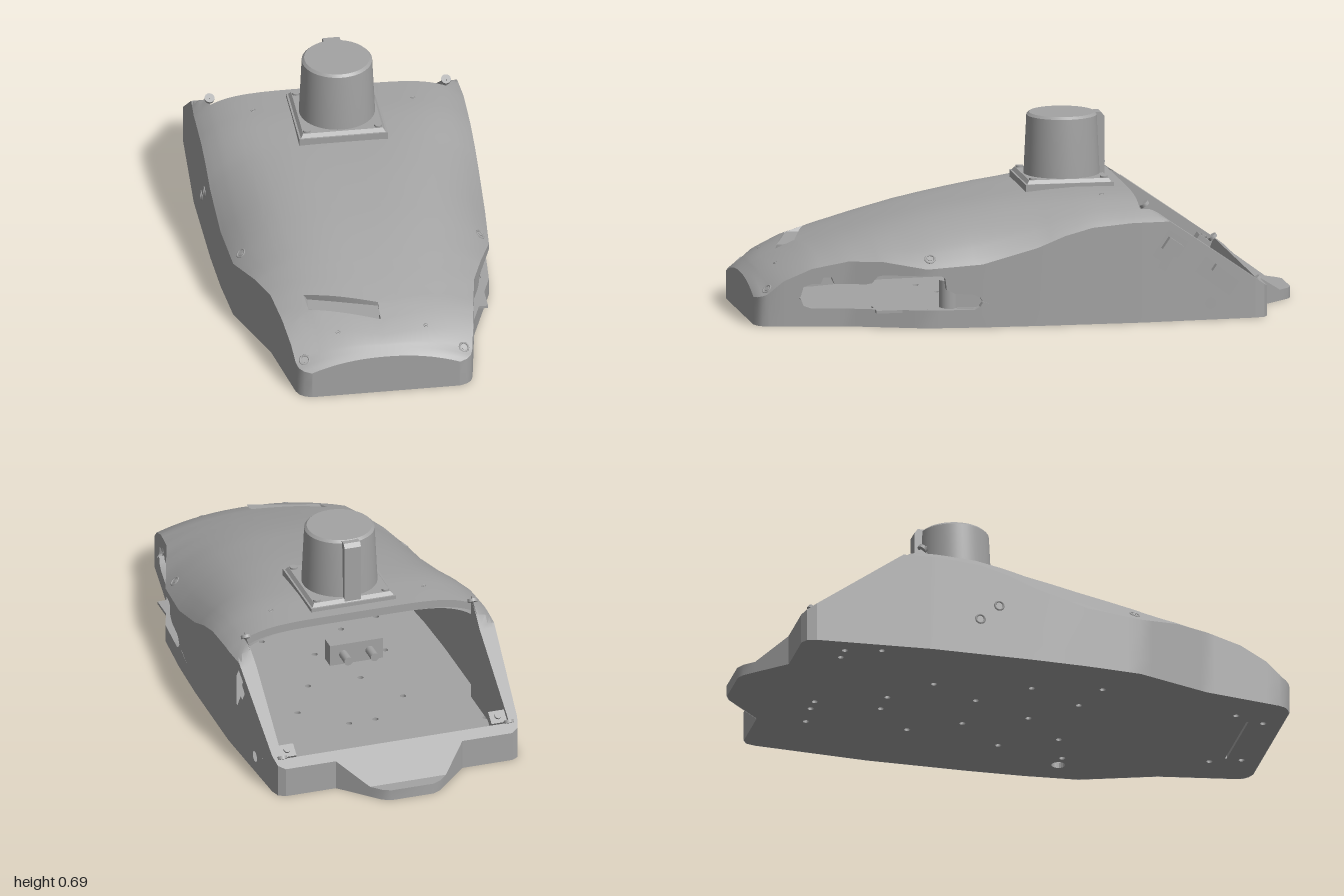
import * as THREE from 'three';
import { mergeGeometries, toCreasedNormals } from 'three/addons/utils/BufferGeometryUtils.js';

const grey = new THREE.MeshStandardMaterial({ color: 0xa3a3a3, side: THREE.DoubleSide });
grey.name = 'grey plastic';

// piecewise interpolation in a table of [key, value], keys descending
function at(table, k) {
  if (k >= table[0][0]) return table[0][1];
  for (let i = 1; i < table.length; i++) {
    const [a, va] = table[i - 1], [b, vb] = table[i];
    if (k >= b) return va + (vb - va) * (a - k) / (a - b);
  }
  return table[table.length - 1][1];
}

// body laws along z: half width, shoulder height, crown height, section roundness
const WIDTH = [[1, .27], [.99, .295], [.975, .312], [.95, .322], [.67, .37], [.4, .465], [.2, .481], [0, .488], [-.38, .49], [-.8, .465]];
const EDGE = [[1, .1], [.96, .115], [.9, .165], [.8, .21], [.67, .237], [.55, .238], [.4, .215], [.2, .23], [0, .285], [-.1, .325], [-.2, .352], [-.35, .365], [-.5, .365]];
const CROWN = [[1, .147], [.95, .185], [.9, .212], [.8, .255], [.7, .288], [.6, .318], [.5, .346], [.4, .37], [.3, .389], [.2, .406], [.1, .42], [0, .431], [-.1, .439], [-.2, .445], [-.5, .441]];
const ROUND = [[1, 2.2], [.5, 3], [0, 4], [-.3, 5.4]];
const SLOT_U = [[1, 0], [.35, .02], [0, .04], [-.714, -.04], [-1, 0]];
const SLOT_Z = [[.97, 0], [.88, 1], [.7, 1], [.5, 0]];
const slope = z => Math.max(.04, .41 + .698 * (z + .42));
const domeY = (u, z) => {
  const e = at(EDGE, z), y = e + (at(CROWN, z) - e) * (1 - Math.abs(u) ** at(ROUND, z));
  return z < -.385 ? Math.min(y, slope(z)) : y;
};

// openings in the side walls: [z, bottom, top]
const HANDLE = [[.84, .1, .11], [.83, .075, .145], [.8, .065, .155], [.77, .065, .155], [.76, .065, .178], [.73, .065, .178], [.72, .065, .155],
  [.61, .065, .155], [.59, .065, .16], [.57, .065, .185], [.55, .065, .19], [.35, .065, .19], [.335, .065, .18], [.33, .065, .14], [.3, .065, .125], [.23, .065, .12], [.21, .075, .11], [.2, .09, .095]];

const Z = [...new Set([...WIDTH, ...EDGE, ...CROWN, ...HANDLE].map(r => r[0])
  .concat([.83, .76, .64, .45, -.05, -.15, -.25, -.3, -.385, -.42, -.45, -.484, -.5]))]
  .filter(z => z >= -.5).sort((a, b) => b - a);
const U = [...new Set([...Array(21).keys()].map(i => (i - 10) / 10)
  .concat([-.95, .95, -.85, .85, -.878, .878, -.714, -.75, .75, -.65, .65, -.98, .98]))].sort((a, b) => a - b);

// quad surface through rows of points
function surface(rows, skip = () => false) {
  const pos = [];
  for (let i = 0; i + 1 < rows.length; i++) for (let j = 0; j + 1 < rows[i].length; j++) {
    if (skip(i, j)) continue;
    const a = rows[i][j], b = rows[i][j + 1], c = rows[i + 1][j + 1], d = rows[i + 1][j];
    pos.push(...a, ...b, ...c, ...a, ...c, ...d);
  }
  const g = new THREE.BufferGeometry();
  g.setAttribute('position', new THREE.Float32BufferAttribute(pos, 3));
  return g;
}

const iSlot = [Z.indexOf(.83), Z.indexOf(.76)], jSlot = [U.indexOf(-.714), U.indexOf(0)];
const inSlot = (i, j) => i >= iSlot[0] && i < iSlot[1] && j >= jSlot[0] && j < jSlot[1];
const inBay = (i, j) => Z[i] <= -.385 && U[j] >= -.878 && U[j + 1] <= .878;
const domeRows = t => Z.map(s => U.map(u => {
  const z = s + at(SLOT_Z, s) * at(SLOT_U, u);
  return [u * (at(WIDTH, z) - t), domeY(u, z) - t, Math.min(z, 1 - t)];
}));

// side wall columns: [x, z, top, hole bottom, hole top]
function wallColumns(side, t) {
  const cols = Z.filter(z => z >= -.385).map(z => {
    const hole = side > 0 && z <= .84 && z >= .2;
    const lo = hole ? at(HANDLE.map(r => [r[0], r[1]]), z) : .06, hi = hole ? at(HANDLE.map(r => [r[0], r[2]]), z) : .06;
    return [side * (at(WIDTH, z) - t), Math.min(z, 1 - t), at(EDGE, z) - t, lo, hi];
  });
  return side > 0 ? cols : cols.reverse();
}
function wall(side, t) {
  const c = wallColumns(side, t), row = f => c.map(p => [p[0], f(p), p[1]]);
  return [surface([row(() => 0), row(p => p[3])]), surface([row(p => p[4]), row(p => p[2])])];
}
function frontWall(t) {
  const w = .27 - t;
  return surface([U.map(u => [u * w, 0, 1 - t]), U.map(u => [u * w, domeY(u, 1) - t, 1 - t])]);
}

export function createModel() {
  const root = new THREE.Group();
  const add = (name, g, x = 0, y = 0, z = 0, parent = root) => {
    const m = new THREE.Mesh(g, grey);
    m.name = name;
    m.position.set(x, y, z);
    parent.add(m);
    return m;
  };
  const box = (name, w, h, d, x, y, z) => add(name, new THREE.BoxGeometry(w, h, d), x, y, z);
  const creased = (...g) => toCreasedNormals(mergeGeometries(g), .5);

  // outer and inner skins
  const outer = domeRows(0), inner = domeRows(.03);
  add('bodyShell', creased(surface(outer, (i, j) => inSlot(i, j) || inBay(i, j)), ...wall(1, 0), ...wall(-1, 0), frontWall(0)));
  add('innerLining', creased(surface(inner, (i, j) => inSlot(i, j) || Z[i] <= -.385), ...wall(1, .03), ...wall(-1, .03), frontWall(.03)));

  // rims of the top slot, handle opening and bay edge
  const jr = r => r.slice(jSlot[0], jSlot[1] + 1), ir = (rows, j) => rows.slice(iSlot[0], iSlot[1] + 1).map(r => r[j]);
  for (const i of iSlot) add('slotRim', creased(surface([jr(outer[i]), jr(inner[i])])));
  for (const j of jSlot) add('slotRim', creased(surface([ir(outer, j), ir(inner, j)])));
  const slotFloor = d => jr(outer[iSlot[0]]).map(p => [p[0], .24, p[2] - d]);
  add('slotFloor', creased(surface([slotFloor(.005), slotFloor(.15)])));
  const inHole = c => c.filter(p => p[1] <= .84 && p[1] >= .2);
  for (const k of [3, 4]) {
    const rim = t => inHole(wallColumns(1, t)).map(p => [p[0], p[k], p[1]]);
    add('handleRim', creased(surface([rim(0), rim(.03)])));
  }
  const iBay = Z.indexOf(-.385), mid = r => r.filter((p, j) => Math.abs(U[j]) <= .878);
  add('bayEdge', creased(surface([mid(outer[iBay]), mid(outer[iBay]).map(p => [p[0], p[1] - .03, p[2]])])));

  // handle pocket
  box('pocketShelf', .1, .01, .4, .385, .06, .38);
  add('pocketPost', new THREE.CylinderGeometry(.035, .035, .1, 24), .4, .115, .31);
  box('pocketStep', .07, .05, .1, .39, .09, .24);

  // rear side panels with port openings on the left
  const path = pts => pts.map(p => new THREE.Vector2(...p));
  const disc = (x, y, r) => new THREE.Path().absarc(x, y, r, 0, Math.PI * 2);
  const panelTop = Z.filter(z => z <= -.385).map(z => [-z, Math.min(at(EDGE, z), slope(z))]);
  for (const s of [1, -1]) {
    const shape = new THREE.Shape(path([[.385, 0], [.8, 0], [.8, slope(-.8)], ...panelTop.slice().reverse()]));
    if (s > 0) shape.holes.push(
      new THREE.Path(path([[.48, .335], [.552, .287], [.515, .232], [.498, .237], [.468, .185], [.44, .198], [.452, .222], [.42, .243]])),
      new THREE.Path(path([[.617, .232], [.74, .135], [.705, .085], [.578, .178]])), disc(.635, .06, .02));
    const g = new THREE.ShapeGeometry(shape, 16), p = g.attributes.position;
    for (let i = 0; i < p.count; i++) p.setXYZ(i, s * at(WIDTH, -p.getX(i)), p.getY(i), -p.getX(i));
    g.computeVertexNormals();
    add('rearSidePanel', g);
    add('bayLiner', creased(surface([[[s * .43, .02, -.385], [s * .43, .02, -.815]], [[s * .43, slope(-.385), -.385], [s * .43, slope(-.815), -.815]]])));
  }
  box('portBlock', .03, .05, .06, .45, .265, -.5).rotation.x = -.6;
  box('portBlock', .03, .04, .06, .45, .175, -.68).rotation.x = -.6;

  // sloped rim around the open bay, tail wall and tip
  const tail = [[.465, -.8], [.455, -.835], [.43, -.85], [.24, -.85], [.144, -.95], [.11, -.985], [.08, -1]];
  const mirror = pts => pts.map(([x, z]) => [-x, z]).reverse();
  const sheet = (name, pts, y) => {
    const g = new THREE.ShapeGeometry(new THREE.Shape(path(pts))), p = g.attributes.position;
    for (let i = 0; i < p.count; i++) p.setXYZ(i, p.getX(i), y(p.getY(i)), p.getY(i));
    g.computeVertexNormals();
    return add(name, g);
  };
  const rimSide = [[at(WIDTH, -.5), -.5], ...tail.slice(0, 5)], bay = [[-.424, -.5], [-.43, -.815], [.43, -.815], [.424, -.5]];
  sheet('slopedRim', [...rimSide, ...mirror(rimSide), ...bay], slope);
  sheet('tailTip', [...tail.slice(4), ...mirror(tail.slice(4))], () => .04);
  const tailPath = [...tail, ...mirror(tail)];
  add('tailWall', creased(surface([tailPath.map(([x, z]) => [x, 0, z]), tailPath.map(([x, z]) => [x, slope(z), z])])));
  add('bayBackWall', creased(surface([[[-.43, .02, -.775], [.43, .02, -.775]], [[-.43, slope(-.815), -.815], [.43, slope(-.815), -.815]]])));

  // floor plate with drilled holes
  const sidePts = [...Z.map(z => [at(WIDTH, z), z]), ...tail];
  const floor = new THREE.Shape(path([...sidePts, ...mirror(sidePts)].map(([x, z]) => [x * .998, -z * .998])));
  const drill = [[-.4, -.68], [-.34, -.68], [.05, -.68], [.11, -.68], [.22, -.67], [-.43, -.55], [-.05, -.435], [.05, -.435], [.2, -.3], [-.2, -.3],
    [.1, -.12], [-.1, -.12], [.25, .05], [-.25, .05], [0, .1], [.15, .25], [-.15, .25], [.3, .3], [-.3, .3], [.2, .82], [-.2, .82], [.16, .93], [-.16, .93]];
  for (const [x, z] of drill) floor.holes.push(disc(x, -z, .011));
  floor.holes.push(disc(.36, -.3, .025), new THREE.Path(path([[-.16, -.875], [.16, -.875], [.16, -.868], [-.16, -.868]])));
  add('floorPlate', new THREE.ExtrudeGeometry(floor, { depth: .02, bevelEnabled: false, curveSegments: 10 }).rotateX(-Math.PI / 2));

  // screws lying on the curved shell
  function screw(x, z, r) {
    const h = (a, b) => domeY(a / at(WIDTH, b), b), d = .004;
    const n = new THREE.Vector3((h(x - d, z) - h(x + d, z)) / (2 * d), 1, (h(x, z - d) - h(x, z + d)) / (2 * d)).normalize();
    const g = new THREE.Group();
    g.name = 'shellScrew';
    g.position.set(x, h(x, z), z);
    g.quaternion.setFromUnitVectors(new THREE.Vector3(0, 1, 0), n);
    add('screwRing', new THREE.TorusGeometry(r, r * .2, 6, 20).rotateX(Math.PI / 2), 0, 0, 0, g);
    add('screwHead', new THREE.CylinderGeometry(r * .5, r * .5, .004, 16), 0, 0, 0, g);
    root.add(g);
  }
  for (const s of [1, -1]) {
    screw(s * .29, .955, .017);
    screw(s * .435, .385, .017);
    screw(s * .16, .9, .007);
    screw(s * .29, -.27, .008);
    // bay corner brackets and rim screws
    for (const z of [-.81, -.4]) add('rimScrew', new THREE.CylinderGeometry(.018, .018, .012, 16), s * .43, slope(z) - .002, z).rotation.x = .61;
    box('cornerBracket', .06, .03, .05, s * .4, .13, -.765).rotation.x = -.61;
    add('bracketScrew', new THREE.CylinderGeometry(.012, .012, .04, 12), s * .4, .133, -.765).rotation.x = -.61;
    add('connectorPin', new THREE.CylinderGeometry(.016, .016, .08, 16).rotateX(Math.PI / 2), s * .05, .27, -.39);
  }
  box('connectorBlock', .2, .08, .06, 0, .27, -.34);
  for (const [y, z] of [[.2, -.13], [.14, -.2]])
    add('sideScrew', new THREE.TorusGeometry(.016, .004, 6, 20).rotateY(Math.PI / 2), -at(WIDTH, z), y, z);

  // sensor tower: square mount, tapered drum and cable cover
  const sensor = new THREE.Group();
  sensor.name = 'sensorTower';
  sensor.position.set(0, 0, -.178);
  root.add(sensor);
  add('mountPlate', new THREE.BoxGeometry(.322, .03, .322), 0, .442, 0, sensor);
  const bevel = new THREE.CylinderGeometry(.145 * Math.SQRT2, .155 * Math.SQRT2, .014, 4).rotateY(Math.PI / 4);
  add('mountBevel', toCreasedNormals(bevel, .3), 0, .463, 0, sensor);
  const drum = [[.137, .455], [.137, .475], [.127, .683], [.118, .692], [0, .692]].map(p => new THREE.Vector2(...p));
  add('sensorDrum', toCreasedNormals(new THREE.LatheGeometry(drum, 48), .5), 0, 0, 0, sensor);
  const cover = new THREE.Shape(path([[.1, .46], [.152, .46], [.152, .675], [.14, .69], [.1, .69]]));
  add('cableCover', new THREE.ExtrudeGeometry(cover, { depth: .062, bevelEnabled: false }).rotateY(Math.PI / 2), -.031, 0, 0, sensor);
  for (const x of [-.13, .13]) for (const z of [-.13, .13])
    add('mountScrew', new THREE.CylinderGeometry(.014, .014, .01, 16), x, .472, z, sensor);
  return root;
}
